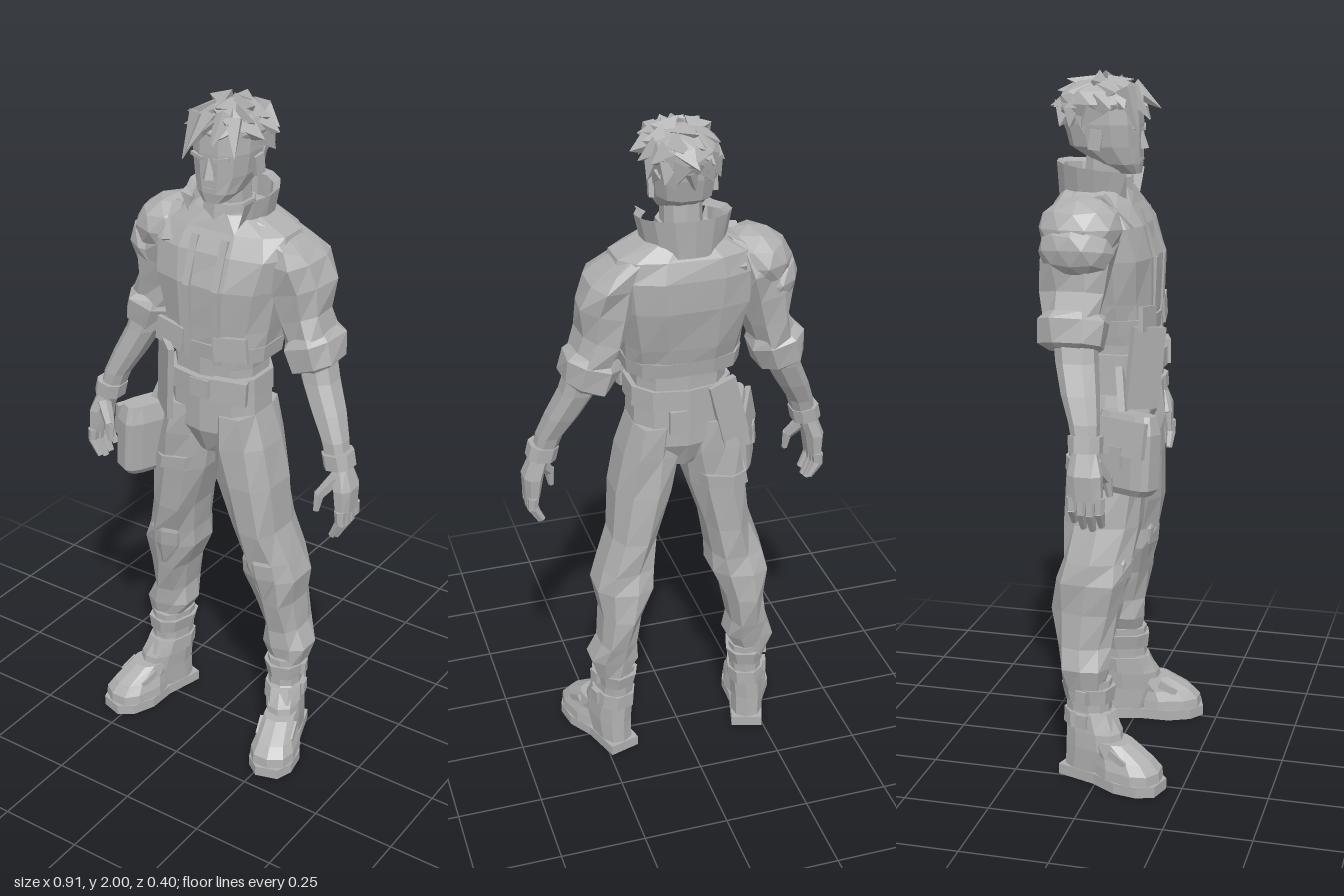
import * as THREE from 'three';

const grey = new THREE.MeshStandardMaterial({ color: 0xb0b0b0, flatShading: true, side: THREE.DoubleSide });
grey.name = 'plainGrey';

const V = (p) => new THREE.Vector3(...p);

function add(parent, name, geometry) {
  const mesh = new THREE.Mesh(geometry, grey);
  mesh.name = name;
  parent.add(mesh);
  return mesh;
}

// Lofts rings listed bottom to top: [x, y, z, rx, rz, roll]; fold adds angular cloth creases
function loft(rings, { sides = 10, fold = 0, power = 0.8, mirror = 1 } = {}) {
  const pos = [], index = [];
  const soft = (v) => Math.sign(v) * Math.abs(v) ** power;
  rings.forEach(([x, y, z, rx, rz, roll = 0], i) => {
    for (let j = 0; j < sides; j++) {
      const t = ((j + 0.5) / sides) * Math.PI * 2;
      const r = 1 + fold * Math.sin(j * 2.4 + i * 1.9);
      const dx = soft(Math.cos(t)) * rx * r, dz = soft(Math.sin(t)) * rz * r;
      const a = roll * mirror;
      pos.push(x * mirror + dx * Math.cos(a), y + dx * Math.sin(a), z + dz);
    }
  });
  const n = rings.length;
  for (let i = 0; i < n - 1; i++) for (let j = 0; j < sides; j++) {
    const k = (j + 1) % sides, a = i * sides + j, b = i * sides + k;
    index.push(a, a + sides, b, b, a + sides, b + sides);
  }
  const low = n * sides;
  for (const e of [0, n - 1]) pos.push(rings[e][0] * mirror, rings[e][1], rings[e][2]);
  for (let j = 0; j < sides; j++) {
    const k = (j + 1) % sides, top = (n - 1) * sides;
    index.push(low, j, k, low + 1, top + k, top + j);
  }
  return surface(pos, index);
}

function surface(pos, index) {
  const g = new THREE.BufferGeometry();
  g.setAttribute('position', new THREE.Float32BufferAttribute(pos, 3));
  g.setIndex(index);
  g.computeVertexNormals();
  return g;
}

// Puts a y-aligned mesh of length 1 between two points
function between(mesh, a, b) {
  const d = V(b).sub(V(a));
  mesh.position.copy(V(a)).addScaledVector(d, 0.5);
  mesh.scale.y = d.length();
  mesh.quaternion.setFromUnitVectors(new THREE.Vector3(0, 1, 0), d.normalize());
  return mesh;
}
const spike = (parent, name, a, b, r0, r1 = 0.001, sides = 4) =>
  between(add(parent, name, new THREE.CylinderGeometry(r1, r0, 1, sides)), a, b);
const bar = (parent, name, a, b, w, d) =>
  between(add(parent, name, new THREE.BoxGeometry(w, 1, d)), a, b);

function box(parent, name, size, at, rot = [0, 0, 0]) {
  const mesh = add(parent, name, new THREE.BoxGeometry(...size));
  mesh.position.set(...at);
  mesh.rotation.set(...rot);
  return mesh;
}

function buildHead(root) {
  const head = new THREE.Group();
  head.name = 'head';
  root.add(head);
  add(head, 'neck', loft([[0, 1.6, -0.05, 0.06, 0.06], [0, 1.78, -0.035, 0.054, 0.058]]));
  add(head, 'face', loft([
    [0, 1.725, 0.035, 0.032, 0.028], [0, 1.752, 0.005, 0.06, 0.062], [0, 1.8, -0.035, 0.08, 0.102],
    [0, 1.86, -0.042, 0.088, 0.11], [0, 1.92, -0.047, 0.086, 0.11], [0, 1.96, -0.05, 0.055, 0.08],
  ], { sides: 12 }));
  spike(head, 'nose', [0, 1.792, 0.068], [0, 1.85, 0.06], 0.018, 0.006);
  box(head, 'mouth', [0.036, 0.006, 0.008], [0, 1.764, 0.064]);
  for (const s of [-1, 1]) {
    box(head, 'brow', [0.045, 0.01, 0.01], [s * 0.038, 1.85, 0.062], [0, s * 0.25, s * 0.15]);
    box(head, 'ear', [0.014, 0.055, 0.035], [s * 0.086, 1.82, -0.045], [0.15, s * -0.15, 0]);
  }

  // Spiky hair: rows of broad locks swept outward and back over a cap
  const cap = add(head, 'hairCap', new THREE.IcosahedronGeometry(1, 1));
  cap.scale.set(0.1, 0.07, 0.12);
  cap.position.set(0, 1.915, -0.055);
  const point = (az, el, rx, ry, rz) => [
    Math.sin(az) * Math.cos(el) * rx + 0.004, 1.905 + Math.sin(el) * ry, -0.05 + Math.cos(az) * Math.cos(el) * rz];
  [[1.3, 4, 0.45], [0.85, 8, 0.4], [0.4, 10, 0.4], [-0.05, 11, 0.5], [-0.45, 11, 0.35]].forEach(([el, n, drop], row) => {
    for (let i = 0; i < n; i++) {
      const az = ((i + row * 0.37) / n) * Math.PI * 2;
      if ((row === 3 && Math.cos(az) > 0.35) || (row === 4 && Math.cos(az) > -0.1)) continue;
      const wave = Math.sin(i * 4.1 + row * 2.3), grow = 1 + 0.07 * wave;
      const tip = point(az + 0.25 * wave, el - drop, 0.126 * grow, 0.1, 0.138 * grow);
      const lock = spike(head, 'hairLock', point(az, el, 0.08, 0.06, 0.095), tip, 0.044);
      lock.scale.z = 0.65;
    }
  });
  for (const [x, tip, y, z] of [[-0.05, -0.078, 1.835, 0.075], [-0.01, -0.045, 1.875, 0.098], [0.025, 0.04, 1.9, 0.11], [0.055, 0.085, 1.865, 0.07]])
    spike(head, 'fringe', [x, 1.955, 0.03], [tip, y, z], 0.03);
}

function buildTorso(root) {
  add(root, 'hips', loft([[0, 0.98, 0, 0.05, 0.08], [0, 1.06, 0, 0.15, 0.115], [0, 1.2, 0, 0.142, 0.115]]));
  add(root, 'shirt', loft([[0, 1.18, 0, 0.135, 0.11], [0, 1.26, 0, 0.135, 0.11], [0, 1.36, 0, 0.15, 0.11]]));
  add(root, 'belt', loft([[0, 1.175, 0.006, 0.152, 0.124], [0, 1.235, 0.006, 0.15, 0.124]]));
  box(root, 'beltPouch', [0.1, 0.07, 0.025], [0.1, 1.21, 0.112], [0, 0.3, -0.05]);
  box(root, 'beltBuckle', [0.06, 0.055, 0.018], [0.01, 1.205, 0.124]);
  add(root, 'jacket', loft([
    [0, 1.3, -0.01, 0.162, 0.12], [0, 1.38, -0.02, 0.173, 0.133], [0, 1.5, -0.03, 0.198, 0.148],
    [0, 1.59, -0.044, 0.217, 0.136], [0, 1.645, -0.055, 0.195, 0.112], [0, 1.69, -0.055, 0.1, 0.09],
  ], { sides: 12, fold: 0.025, power: 0.7 }));
  add(root, 'jacketHem', loft([[0, 1.29, -0.01, 0.166, 0.124], [0, 1.335, -0.012, 0.171, 0.13]], { sides: 12, power: 0.7 }));

  // Jacket fronts with hem pockets
  for (const s of [-1, 1]) {
    const x = s * 0.048 + 0.008;
    bar(root, 'jacketEdge', [x, 1.28, 0.108], [x, 1.5, 0.116], 0.022, 0.012);
    bar(root, 'jacketEdge', [x, 1.5, 0.116], [x, 1.63, 0.068], 0.022, 0.012);
    box(root, 'jacketPocket', [0.1, 0.07, 0.014], [s * 0.1, 1.335, 0.107], [-0.05, s * 0.15, s * 0.12]);
  }

  // Open standing collar, high at the nape, with pointed front corners
  const pos = [], index = [], n = 12;
  for (let i = 0; i <= n; i++) {
    const t = -2.6 + (5.2 * i) / n, back = (1 + Math.cos(t)) / 2;
    const sx = Math.sin(t), cz = -Math.cos(t);
    const tip = i === 0 || i === n ? 1.6 : 1;
    pos.push(sx * 0.105, 1.59 + 0.065 * back, -0.06 + cz * 0.11);
    pos.push(sx * 0.132 * tip ** 0.9, 1.73 + 0.03 * back, -0.055 + cz * 0.12);
    pos.push(sx * 0.112 * tip ** 0.6, 1.715 + 0.035 * back, -0.055 + cz * 0.102);
    if (i < n) for (let k = 0; k < 2; k++) {
      const a = i * 3 + k;
      index.push(a, a + 3, a + 1, a + 1, a + 3, a + 4);
    }
  }
  add(root, 'collar', surface(pos, index));
  add(root, 'neckBand', loft([[0, 1.6, -0.03, 0.072, 0.085], [0, 1.715, -0.035, 0.066, 0.072]]));
}

function buildArm(root, s) {
  const arm = new THREE.Group();
  arm.name = s > 0 ? 'leftArm' : 'rightArm';
  root.add(arm);
  add(arm, 'sleeve', loft([
    [0.265, 1.34, -0.06, 0.066, 0.085, 0.3], [0.238, 1.42, -0.062, 0.062, 0.09, 0.3], [0.225, 1.5, -0.062, 0.078, 0.1, 0.25],
    [0.205, 1.575, -0.06, 0.072, 0.108, 0.1], [0.18, 1.625, -0.06, 0.068, 0.09, -0.35], [0.13, 1.67, -0.06, 0.04, 0.06, -0.4],
  ], { sides: 8, fold: 0.1, mirror: s }));
  add(arm, 'rolledCuff', loft([
    [0.288, 1.275, -0.058, 0.05, 0.07, 0.35], [0.282, 1.285, -0.058, 0.072, 0.09, 0.35],
    [0.263, 1.35, -0.06, 0.08, 0.098, 0.3], [0.255, 1.372, -0.06, 0.065, 0.08, 0.3],
  ], { sides: 8, fold: 0.06, mirror: s }));
  add(arm, 'forearm', loft([
    [0.395, 1.03, 0.01, 0.032, 0.034], [0.375, 1.1, 0, 0.037, 0.042], [0.34, 1.17, -0.02, 0.046, 0.052],
    [0.3, 1.25, -0.04, 0.05, 0.058], [0.28, 1.32, -0.05, 0.05, 0.06],
  ], { sides: 8, mirror: s }));
  add(arm, 'wristband', loft([[0.4, 1.025, 0.01, 0.043, 0.046, 0.15], [0.39, 1.068, 0.008, 0.043, 0.047, 0.15]], { sides: 8, mirror: s }));
  add(arm, 'palm', loft([[0.43, 0.9, 0.018, 0.022, 0.048], [0.425, 0.97, 0.015, 0.03, 0.05], [0.402, 1.035, 0.01, 0.028, 0.034]], { sides: 8, mirror: s }));
  for (let i = 0; i < 4; i++) {
    const z = -0.019 + i * 0.025, len = [0.075, 0.092, 0.097, 0.085][i];
    spike(arm, 'finger', [s * 0.432, 0.91, z], [s * 0.434, 0.91 - len * 0.5, z], 0.017, 0.015, 6);
    spike(arm, 'fingertip', [s * 0.434, 0.915 - len * 0.5, z], [s * 0.408, 0.91 - len, z], 0.016, 0.01, 6);
  }
  spike(arm, 'thumb', [s * 0.405, 1, 0.035], [s * 0.366, 0.945, 0.06], 0.022, 0.016, 6);
  spike(arm, 'thumbTip', [s * 0.366, 0.95, 0.06], [s * 0.36, 0.895, 0.066], 0.016, 0.009, 6);
}

function buildLeg(root, s) {
  const leg = new THREE.Group();
  leg.name = s > 0 ? 'leftLeg' : 'rightLeg';
  root.add(leg);
  add(leg, 'trouserLeg', loft([
    [0.224, 0.27, -0.042, 0.045, 0.06], [0.215, 0.34, -0.044, 0.073, 0.073], [0.205, 0.4, -0.05, 0.06, 0.08],
    [0.191, 0.5, -0.044, 0.064, 0.098], [0.178, 0.59, -0.032, 0.086, 0.104], [0.168, 0.65, -0.022, 0.083, 0.1],
    [0.142, 0.75, -0.008, 0.075, 0.11], [0.112, 0.9, -0.002, 0.086, 0.115], [0.092, 1.02, 0, 0.084, 0.115], [0.08, 1.12, 0, 0.07, 0.11],
  ], { sides: 9, fold: 0.07, mirror: s }));
  add(leg, 'kneePad', loft([
    [0.18, 0.52, 0.03, 0.02, 0.025], [0.172, 0.6, 0.042, 0.055, 0.036], [0.166, 0.65, 0.048, 0.055, 0.036], [0.16, 0.675, 0.05, 0.04, 0.03],
  ], { sides: 6, mirror: s }));

  // Boot turned outward
  const boot = new THREE.Group();
  boot.name = 'boot';
  boot.position.set(s * 0.244, 0, 0.04);
  boot.rotation.y = s * 0.3;
  leg.add(boot);
  const outline = new THREE.Shape([
    [-0.047, -0.152], [0.047, -0.152], [0.052, -0.03], [0.074, 0.05], [0.066, 0.12], [0.034, 0.163],
    [-0.034, 0.163], [-0.066, 0.12], [-0.074, 0.05], [-0.052, -0.03]].map(([x, z]) => new THREE.Vector2(x, -z)));
  const sole = new THREE.ExtrudeGeometry(outline, { depth: 0.032, bevelEnabled: false });
  sole.rotateX(-Math.PI / 2);
  add(boot, 'sole', sole);
  // Toe box, heel and shaft
  add(boot, 'toeBox', loft([
    [0, 0.03, 0.06, 0.071, 0.1], [0, 0.06, 0.06, 0.068, 0.097], [0, 0.088, 0.045, 0.057, 0.085], [0, 0.13, 0.0, 0.048, 0.06],
  ], { sides: 10, power: 0.75 }));
  add(boot, 'bootShaft', loft([
    [0, 0.03, -0.073, 0.05, 0.076], [0, 0.1, -0.055, 0.053, 0.092], [-s * 0.004, 0.15, -0.06, 0.054, 0.087],
    [-s * 0.008, 0.21, -0.08, 0.05, 0.067], [-s * 0.01, 0.3, -0.083, 0.052, 0.069],
  ], { sides: 10 }));
  add(boot, 'ankleStrap', loft([[-s * 0.005, 0.16, -0.068, 0.06, 0.086], [-s * 0.008, 0.205, -0.078, 0.058, 0.076]], { sides: 8 }));
  add(boot, 'bootCuff', loft([[-s * 0.008, 0.235, -0.08, 0.053, 0.072], [-s * 0.01, 0.28, -0.083, 0.062, 0.08]], { sides: 8 }));
  box(boot, 'instepStrap', [0.115, 0.02, 0.06], [0, 0.098, 0.05], [0.5, 0, 0]);
  for (const y of [0.185, 0.258]) box(boot, 'strapBuckle', [0.016, 0.04, 0.035], [s * 0.05, y, -0.07]);
}

function buildGear(root) {
  // Layered shoulder guard on the right arm
  const plates = [[-0.205, 1.595, 0.105, 0.085, 0.118, 0.4], [-0.25, 1.535, 0.068, 0.085, 0.106, 0.45]];
  for (const [x, y, rx, ry, rz, tilt] of plates) {
    const plate = add(root, 'shoulderGuard', new THREE.IcosahedronGeometry(1, 1));
    plate.position.set(x, y, -0.055);
    plate.scale.set(rx, ry, rz);
    plate.rotation.z = tilt;
  }
  bar(root, 'guardStrap', [-0.13, 1.59, 0.07], [-0.15, 1.672, -0.01], 0.035, 0.02);
  bar(root, 'guardStrap', [-0.15, 1.668, -0.01], [-0.13, 1.6, -0.155], 0.035, 0.02);

  // Long hip pouch, its flap facing out and slightly back
  const pouch = new THREE.Group();
  pouch.name = 'hipPouch';
  pouch.position.set(-0.204, 0.98, 0.075);
  pouch.rotation.set(0, -0.42, -0.08);
  root.add(pouch);
  add(pouch, 'pouchBody', loft([[0, -0.115, 0, 0.034, 0.08], [0, -0.095, 0, 0.046, 0.098], [0, 0.06, 0, 0.046, 0.098], [0, 0.11, 0, 0.03, 0.085]], { sides: 12, power: 0.5 }));
  box(pouch, 'pouchFlap', [0.016, 0.1, 0.18], [-0.042, 0.045, 0], [0, 0, -0.1]);
  box(pouch, 'pouchClasp', [0.014, 0.06, 0.04], [-0.051, -0.01, 0]);
  bar(root, 'pouchHanger', [-0.18, 1.08, 0.06], [-0.135, 1.2, 0.04], 0.05, 0.02);
  add(root, 'thighStrap', loft([[-0.117, 0.9, -0.002, 0.092, 0.121, 0.12], [-0.11, 0.94, -0.002, 0.092, 0.122, 0.12]], { sides: 9 }));

  // Hanging cloth at the waist
  box(root, 'sash', [0.11, 0.23, 0.018], [-0.122, 1.2, 0.105], [0, -0.7, -0.12]);
  bar(root, 'sashBack', [-0.1, 1.24, -0.1], [-0.145, 1.06, -0.095], 0.085, 0.018);
  box(root, 'backLoop', [0.05, 0.07, 0.015], [0.03, 1.14, -0.115]);
}

export function createModel() {
  const root = new THREE.Group();
  root.name = 'standingFigure';
  buildHead(root);
  buildTorso(root);
  for (const s of [1, -1]) {
    buildArm(root, s);
    buildLeg(root, s);
  }
  buildGear(root);
  return root;
}
